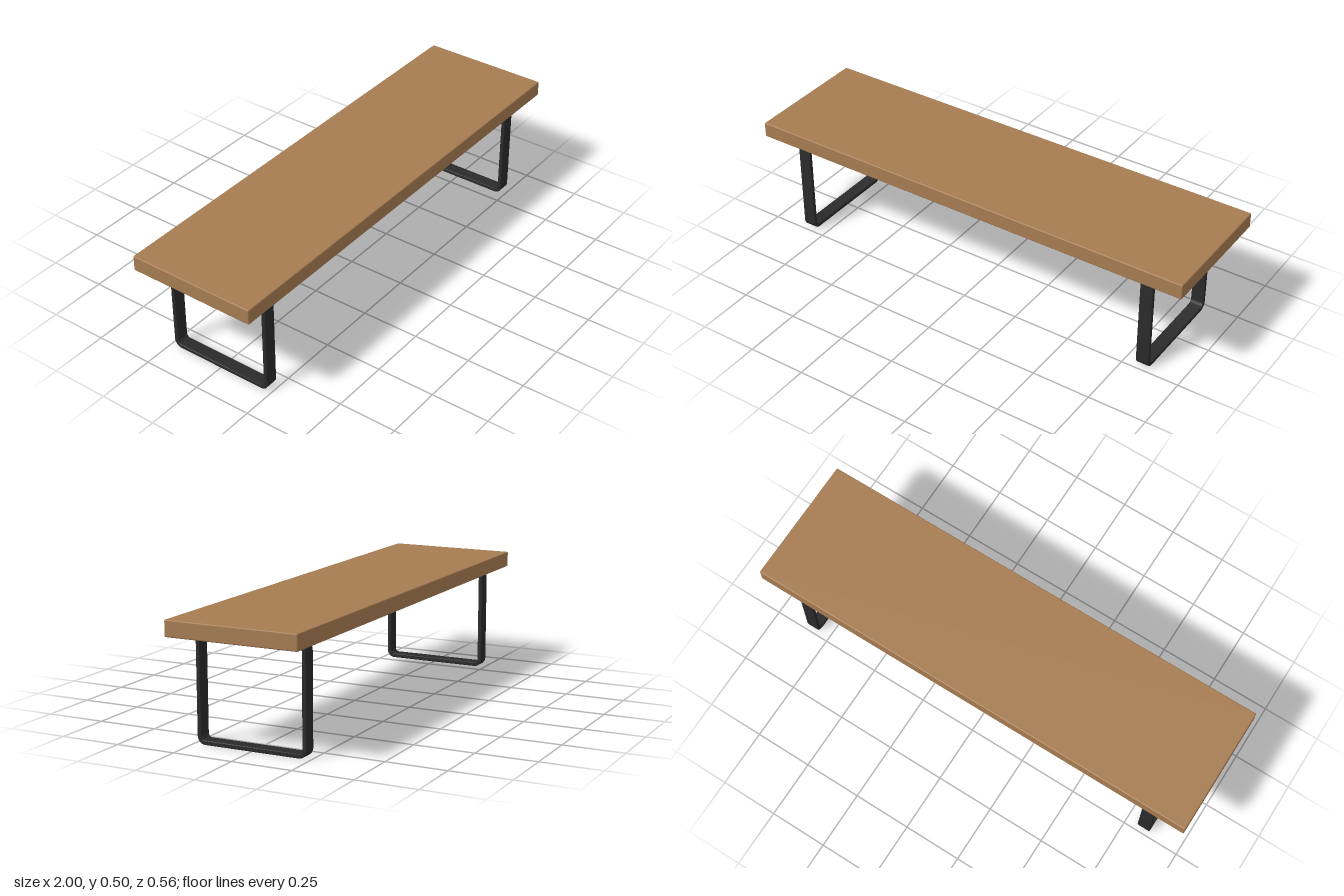
import * as THREE from 'three';
import { RoundedBoxGeometry } from 'three/addons/geometries/RoundedBoxGeometry.js';
import { toCreasedNormals } from 'three/addons/utils/BufferGeometryUtils.js';

const HEIGHT = 0.502, SLAB = 0.066, LEG_HEIGHT = HEIGHT - SLAB;
const LEG_DEPTH = 0.467, LEG_WIDTH = 0.056, BAR = 0.017, LEG_X = 0.83;

// Traces a rounded rectangle, inset evenly from the leg's outer outline.
function roundedRect(path, inset, radius) {
  const x = LEG_DEPTH / 2 - inset, y0 = inset, y1 = LEG_HEIGHT - inset;
  path.absarc(x - radius, y0 + radius, radius, -Math.PI / 2, 0);
  path.absarc(x - radius, y1 - radius, radius, 0, Math.PI / 2);
  path.absarc(-x + radius, y1 - radius, radius, Math.PI / 2, Math.PI);
  path.absarc(-x + radius, y0 + radius, radius, Math.PI, Math.PI * 1.5);
  path.closePath();
  return path;
}

// Flat bar bent into a closed loop, running across the bench.
function legGeometry() {
  const bevel = 0.002;
  const shape = roundedRect(new THREE.Shape(), 0, 0.033);
  shape.holes.push(roundedRect(new THREE.Path(), BAR, 0.016));
  const depth = LEG_WIDTH - 2 * bevel;
  const geometry = new THREE.ExtrudeGeometry(shape, {
    depth, curveSegments: 8, bevelEnabled: true, bevelSegments: 1,
    bevelSize: bevel, bevelThickness: bevel, bevelOffset: -bevel,
  });
  geometry.translate(0, 0, -depth / 2).rotateY(Math.PI / 2);
  return toCreasedNormals(geometry, Math.PI / 6);
}

export function createModel() {
  const bench = new THREE.Group();
  bench.name = 'bench';
  const wood = new THREE.MeshStandardMaterial({ color: 0xa67c52 });
  const metal = new THREE.MeshStandardMaterial({ color: 0x2a2a2a });

  // Thick seat slab with slightly eased edges
  const seat = new THREE.Mesh(new RoundedBoxGeometry(2, SLAB, 0.556, 3, 0.005), wood);
  seat.name = 'seat';
  seat.position.y = HEIGHT - SLAB / 2;
  bench.add(seat);

  // Matching loop legs near each end
  const geometry = legGeometry();
  for (const [name, side] of [['leftLeg', 1], ['rightLeg', -1]]) {
    const leg = new THREE.Mesh(geometry, metal);
    leg.name = name;
    leg.position.x = side * LEG_X;
    bench.add(leg);
  }
  return bench;
}
